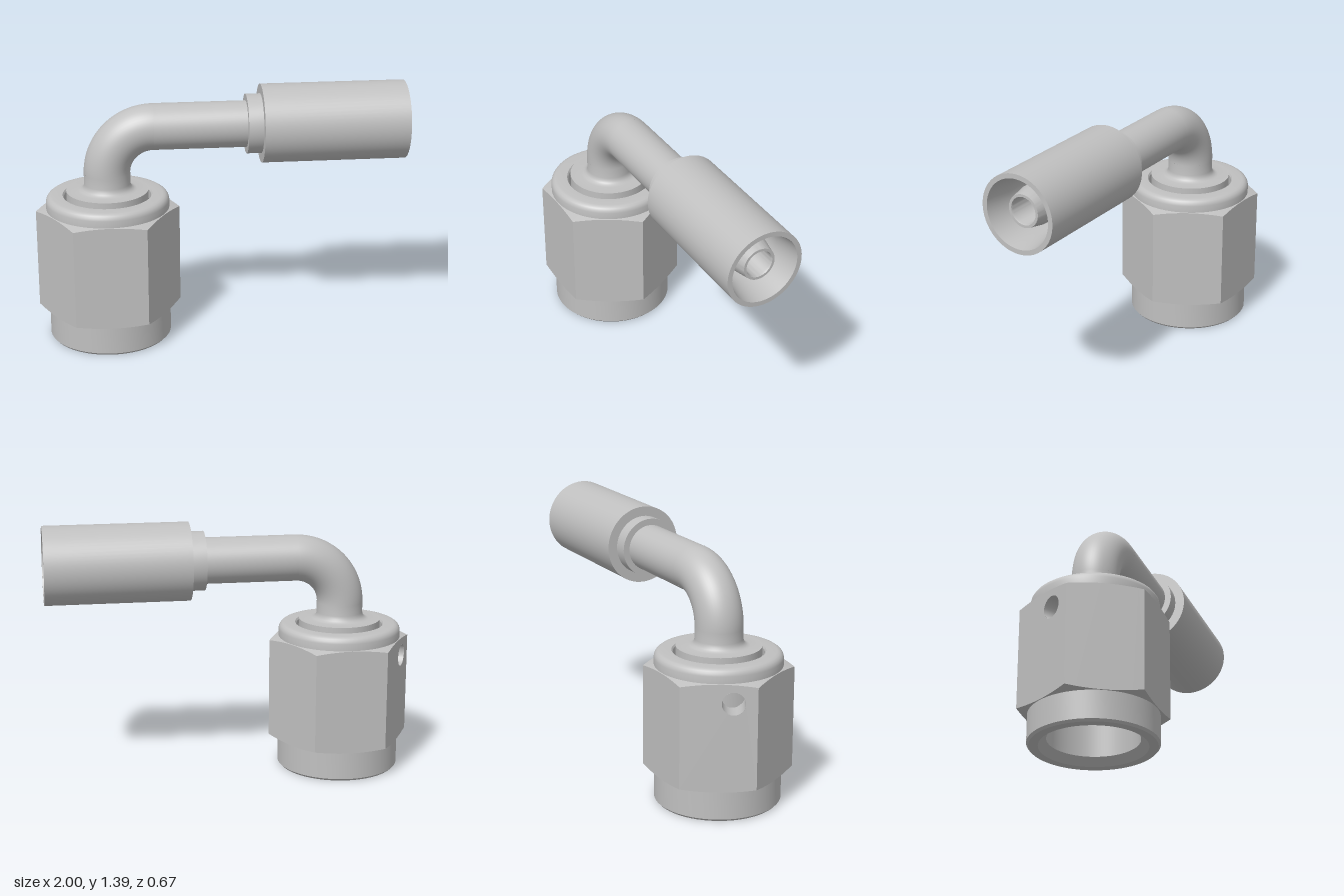
import * as THREE from 'three';
import { toCreasedNormals } from 'three/addons/utils/BufferGeometryUtils.js';

const steel = new THREE.MeshStandardMaterial({ color: 0xc0c0c0, side: THREE.DoubleSide });
steel.name = 'steel grey';

const NUT_X = -0.61;    // axis of the nut
const PIPE_Y = 1.18;    // axis of the horizontal pipe
const PIPE_R = 0.125, BORE_R = 0.07, BEND_R = 0.25;
const APOTHEM = 0.337, COLLAR_R = 0.333;
const HEX_BOTTOM = 0.16, HEX_TOP = 0.737, SLOPE = 0.3;

function mesh(name, geometry) {
  const m = new THREE.Mesh(geometry, steel);
  m.name = name;
  return m;
}

// Turned part with crisp edges, about the y axis
function turned(points, segments = 64) {
  const profile = points.map(([r, y]) => new THREE.Vector2(r, y));
  return toCreasedNormals(new THREE.LatheGeometry(profile, segments), 0.5);
}

// Turned part about the x axis
function turnedAlongX(points) {
  return turned(points).rotateZ(-Math.PI / 2).translate(0, PIPE_Y, 0);
}

// Drop of the conical chamfer at radius r
const chamfer = (r) => SLOPE * (r - COLLAR_R);

// One flat of the hexagon, with edges curved by the chamfer
function hexFlat(hole) {
  const steps = 16, top = [], bottom = [];
  for (let i = 0; i <= steps; i++) {
    const a = (i / steps - 0.5) * Math.PI / 3;
    const u = APOTHEM * Math.tan(a), d = chamfer(APOTHEM / Math.cos(a));
    bottom.push(new THREE.Vector2(u, HEX_BOTTOM + d));
    top.unshift(new THREE.Vector2(u, HEX_TOP - d));
  }
  const shape = new THREE.Shape([...bottom, ...top]);
  if (hole) shape.holes.push(new THREE.Path().absarc(hole.u, hole.y, hole.r, 0, Math.PI * 2, true));
  return new THREE.ShapeGeometry(shape, 24).translate(0, 0, APOTHEM);
}

// Chamfer ring between the round collar and the hexagon
function chamferRing() {
  const g = new THREE.RingGeometry(COLLAR_R, 1, 96, 1);
  const p = g.attributes.position;
  for (let i = 0; i < p.count; i++) {
    const x = p.getX(i), y = p.getY(i);
    if (Math.hypot(x, y) < 0.9) continue;
    const sector = Math.PI / 3;
    const a = (Math.atan2(y, x) + Math.PI * 2 + 1e-6) % sector;
    const r = APOTHEM / Math.cos(a - sector / 2);
    p.setXYZ(i, x * r, y * r, -chamfer(r));
  }
  g.computeVertexNormals();
  return g;
}

function createNut() {
  const nut = new THREE.Group();
  nut.name = 'swivelNut';

  // Collars and bore, open where the hexagon covers it
  nut.add(mesh('nutBody', turned([
    [COLLAR_R, HEX_BOTTOM], [COLLAR_R, 0.012], [0.322, 0], [0.275, 0], [0.235, 0.04],
    [0.235, 0.8], [0.242, 0.81], [0.298, 0.81], [0.312, 0.807], [0.323, 0.799],
    [0.33, 0.788], [COLLAR_R, 0.775], [COLLAR_R, HEX_TOP],
  ].reverse(), 96)));

  // Six flats, one drilled
  const hole = { u: 0.074, y: 0.635, r: 0.06 };
  for (let k = 0; k < 6; k++) {
    nut.add(mesh('hexFlat', hexFlat(k === 4 ? hole : null).rotateY(k * Math.PI / 3)));
  }
  const depth = 0.13;
  const wall = new THREE.CylinderGeometry(hole.r, hole.r, depth, 24, 1, true)
    .rotateX(Math.PI / 2)
    .translate(hole.u, hole.y, APOTHEM - depth / 2)
    .rotateY(4 * Math.PI / 3);
  nut.add(mesh('wireHole', wall));

  nut.add(mesh('topChamfer', chamferRing().rotateX(-Math.PI / 2).translate(0, HEX_TOP, 0)));
  nut.add(mesh('bottomChamfer', chamferRing().rotateX(Math.PI / 2).translate(0, HEX_BOTTOM, 0)));
  nut.position.x = NUT_X;
  return nut;
}

function createElbow() {
  const elbow = new THREE.Group();
  elbow.name = 'elbow';
  const bendX = NUT_X + BEND_R, bendY = PIPE_Y - BEND_R;

  // Flanged nose with a conical seat, filleted into the pipe
  const nose = mesh('flangedNose', turned([
    [BORE_R, bendY], [BORE_R, 0.34], [0.12, 0.34], [0.222, 0.44], [0.222, 0.835],
    [0.16, 0.835], [0.147, 0.838], [0.135, 0.846], [0.128, 0.857], [PIPE_R, 0.872], [PIPE_R, bendY],
  ]));
  nose.position.x = NUT_X;
  elbow.add(nose);

  // Quarter bend, outside and bore
  for (const [name, r] of [['bend', PIPE_R], ['bendBore', BORE_R]]) {
    elbow.add(mesh(name, new THREE.TorusGeometry(BEND_R, r, 48, 32, Math.PI / 2)
      .rotateZ(Math.PI / 2).translate(bendX, bendY, 0)));
  }

  // Straight pipe
  elbow.add(mesh('pipe', turnedAlongX([[PIPE_R, bendX], [PIPE_R, 0.16]])));
  return elbow;
}

function createHoseEnd() {
  const end = new THREE.Group();
  end.name = 'hoseEnd';

  // Crimp sleeve with a stepped neck and tapered mouth
  end.add(mesh('crimpSleeve', turnedAlongX([
    [PIPE_R, 0.14], [0.16, 0.14], [0.16, 0.22], [0.212, 0.22], [0.212, 1],
    [0.186, 1], [0.163, 0.85], [0.163, 0.32], [0.1, 0.32],
  ])));

  // Inner nipple and its through bore
  end.add(mesh('nipple', turnedAlongX([
    [0.105, 0.32], [0.105, 0.86], [0.088, 0.95], [0.074, 0.95], [BORE_R, 0.94], [BORE_R, NUT_X + BEND_R],
  ])));
  return end;
}

export function createModel() {
  const model = new THREE.Group();
  model.name = 'elbowHoseFitting';
  model.add(createNut(), createElbow(), createHoseEnd());
  return model;
}
